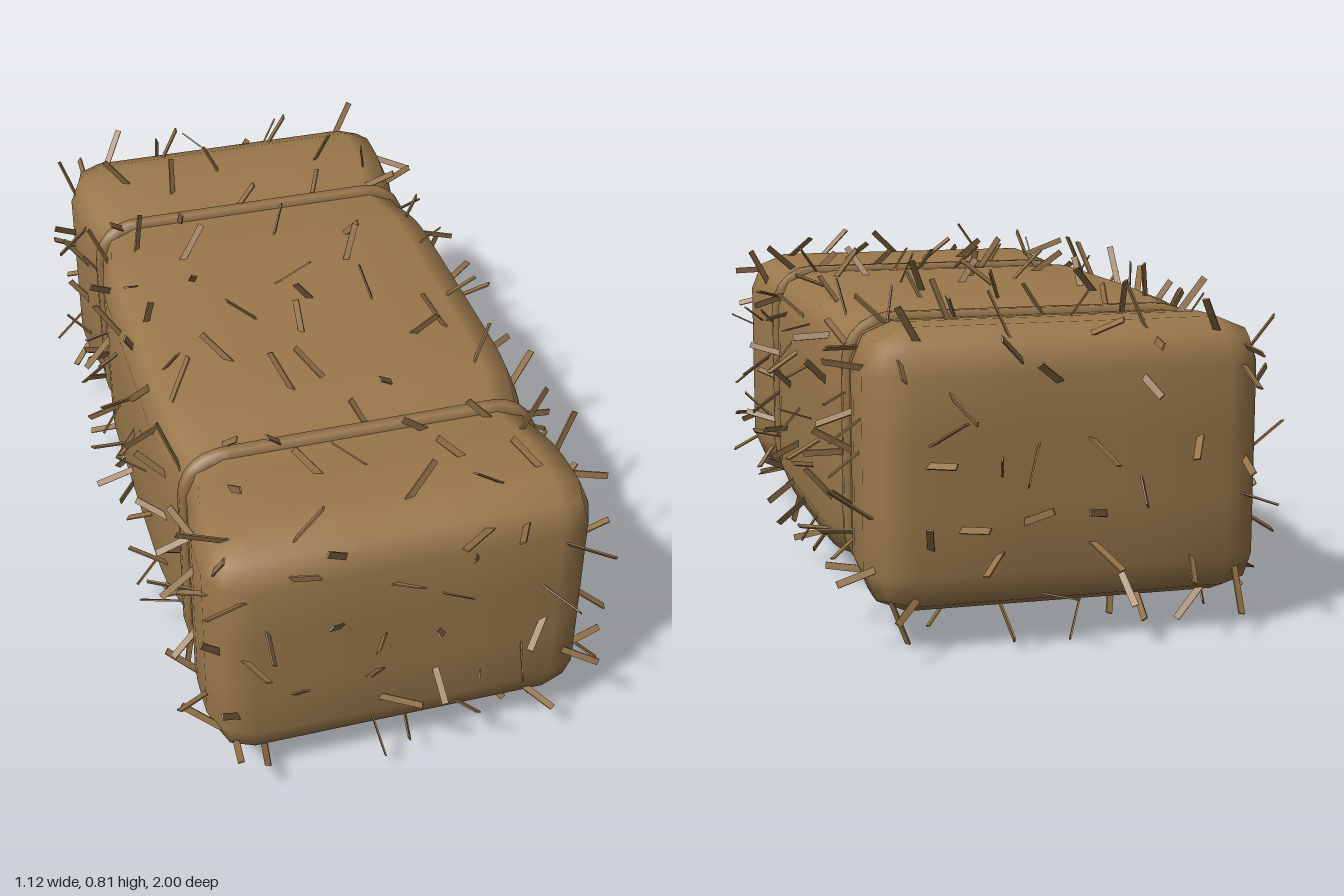
import * as THREE from 'three';
import { mergeGeometries, mergeVertices } from 'three/addons/utils/BufferGeometryUtils.js';

const HALF = new THREE.Vector3(0.465, 0.3225, 0.925);
const RADIUS = 0.1;
const MID_Y = 0.402;
const STRAP_Z = 0.522;
const INNER = HALF.clone().subScalar(RADIUS);

// Small seeded generator
function seeded(seed) {
  return () => {
    seed = (seed * 1664525 + 1013904223) % 4294967296;
    return seed / 4294967296;
  };
}

// The twine squeezes the bale at two places along its length
const squeeze = z => 1 - 0.07 * Math.exp(-(((Math.abs(z) - STRAP_Z) / 0.12) ** 2));

// Moves a point of the sharp box on to the rounded, squeezed bale
function onBale(p) {
  const core = p.clone().clamp(INNER.clone().negate(), INNER);
  const normal = p.clone().sub(core).normalize();
  const point = core.addScaledVector(normal, RADIUS);
  const s = squeeze(point.z);
  point.x *= s;
  point.y *= s;
  return { point, normal };
}

function baleGeometry() {
  const segments = { x: 5, y: 5, z: 34 };
  let geo = new THREE.BoxGeometry(1, 1, 1, segments.x, segments.y, segments.z);
  const pos = geo.attributes.position;
  const p = new THREE.Vector3();
  for (let i = 0; i < pos.count; i++) {
    p.fromBufferAttribute(pos, i);
    for (const a of ['x', 'y', 'z']) {
      const n = segments[a];
      const k = Math.round((p[a] + 0.5) * n);
      if (k === 0) p[a] = -HALF[a];
      else if (k === n) p[a] = HALF[a];
      else p[a] = INNER[a] * (2 * (k - 1) / (n - 2) - 1);
    }
    const { point } = onBale(p);
    pos.setXYZ(i, point.x, point.y, point.z);
  }
  geo.deleteAttribute('uv');
  geo.deleteAttribute('normal');
  geo = mergeVertices(geo, 1e-4);
  geo.computeVertexNormals();
  return geo;
}

// Closed tube following the squeezed cross-section
function strapGeometry() {
  const s = squeeze(STRAP_Z);
  const w = HALF.x * s - 0.002, h = HALF.y * s - 0.002, r = RADIUS * s;
  const points = [];
  const corners = [[1, 1], [-1, 1], [-1, -1], [1, -1]];
  corners.forEach(([sx, sy], c) => {
    for (let k = 0; k <= 4; k++) {
      const a = (c + k / 4) * Math.PI / 2;
      points.push(new THREE.Vector3(sx * (w - r) + r * Math.cos(a), sy * (h - r) + r * Math.sin(a), 0));
    }
  });
  const path = new THREE.CurvePath();
  points.forEach((p, i) => path.add(new THREE.LineCurve3(p, points[(i + 1) % points.length])));
  return new THREE.TubeGeometry(path, 96, 0.022, 6, true);
}

// One thin stalk rooted in the surface, leaning away from the normal
function stalkGeometry(boxPoint, rand) {
  const { point, normal } = onBale(boxPoint);
  const lean = new THREE.Vector3(rand() - 0.5, rand() - 0.5, rand() - 0.5)
    .projectOnPlane(normal).normalize();
  const length = 0.1 + rand() * 0.04;
  const dir = normal.clone().multiplyScalar(0.65).addScaledVector(lean, 0.3 + rand() * 0.6).normalize();
  const geo = new THREE.BoxGeometry(0.016, length, 0.004);
  geo.translate(0, length / 2 - 0.03, 0);
  geo.rotateY(rand() * Math.PI);
  geo.applyQuaternion(new THREE.Quaternion().setFromUnitVectors(new THREE.Vector3(0, 1, 0), dir));
  geo.translate(point.x, point.y, point.z);
  // keep every stalk inside the overall envelope
  const pos = geo.attributes.position;
  for (let i = 0; i < pos.count; i++) {
    pos.setY(i, Math.max(pos.getY(i), -MID_Y));
    pos.setZ(i, THREE.MathUtils.clamp(pos.getZ(i), -1, 1));
  }
  return geo;
}

// Loosely gridded stalks over one face: u and v are the axes along it
function faceStalks(axis, sign, u, v, nu, nv, rand) {
  const stalks = [];
  for (let i = 0; i < nu; i++) {
    for (let j = 0; j < nv; j++) {
      const p = new THREE.Vector3();
      p[axis] = sign * HALF[axis];
      p[u] = HALF[u] * (2 * (i + 0.5 + (rand() - 0.5) * 0.7) / nu - 1);
      p[v] = HALF[v] * (2 * (j + 0.5 + (rand() - 0.5) * 0.7) / nv - 1);
      stalks.push(stalkGeometry(p, rand));
    }
  }
  return mergeGeometries(stalks);
}

export function createModel() {
  const hay = new THREE.MeshStandardMaterial({ color: 0x9a784c });
  hay.name = 'hay';
  const twine = new THREE.MeshStandardMaterial({ color: 0x967449 });
  twine.name = 'twine';
  const straw = new THREE.MeshStandardMaterial({ color: 0x957349 });
  straw.name = 'straw';

  const model = new THREE.Group();
  model.name = 'hayBale';
  const add = (name, geo, mat, z = 0) => {
    const mesh = new THREE.Mesh(geo, mat);
    mesh.name = name;
    mesh.position.set(0, MID_Y, z);
    model.add(mesh);
  };

  add('bale', baleGeometry(), hay);

  const strap = strapGeometry();
  add('frontStrap', strap, twine, STRAP_Z);
  add('backStrap', strap, twine, -STRAP_Z);

  // Loose stalks on all six faces
  const rand = seeded(41);
  const faces = [
    ['leftStalks', 'x', 1, 'z', 'y', 11, 5],
    ['rightStalks', 'x', -1, 'z', 'y', 11, 5],
    ['topStalks', 'y', 1, 'z', 'x', 11, 5],
    ['bottomStalks', 'y', -1, 'z', 'x', 11, 5],
    ['frontStalks', 'z', 1, 'x', 'y', 4, 7],
    ['backStalks', 'z', -1, 'x', 'y', 4, 7],
  ];
  for (const [name, axis, sign, u, v, nu, nv] of faces) {
    add(name, faceStalks(axis, sign, u, v, nu, nv, rand), straw);
  }
  return model;
}
